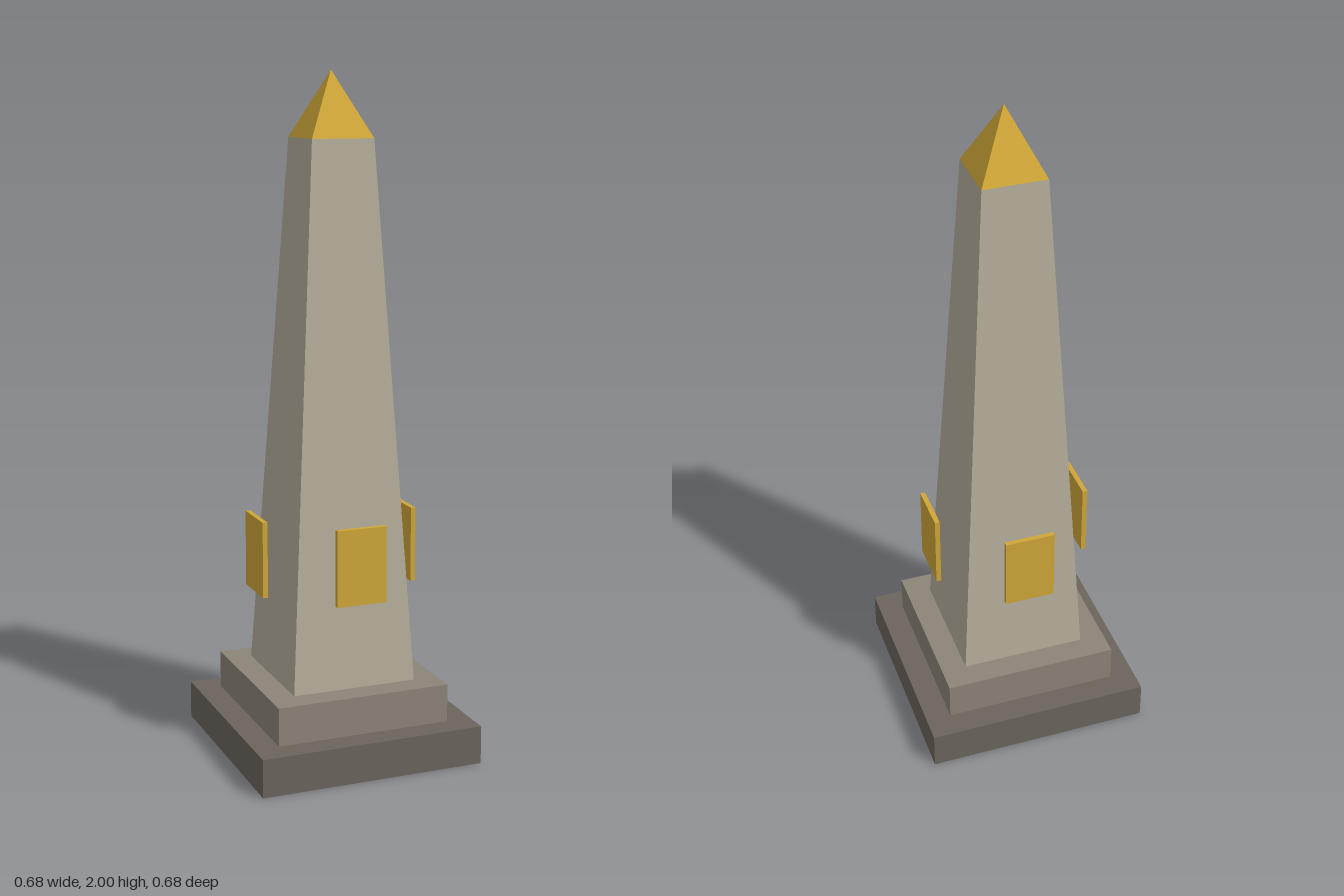
import * as THREE from 'three';

const paint = (color) => new THREE.MeshStandardMaterial({ color, flatShading: true, side: THREE.DoubleSide });

function add(parent, name, geometry, material, x, y, z) {
  const mesh = new THREE.Mesh(geometry, material);
  mesh.name = name;
  mesh.position.set(x, y, z);
  parent.add(mesh);
  return mesh;
}

// Square slab with an open underside
function openSlab(width, height) {
  const g = new THREE.BoxGeometry(width, height, width);
  const index = Array.from(g.index.array);
  index.splice(18, 6); // the bottom face
  g.setIndex(index);
  g.clearGroups();
  return g;
}

// Four-sided taper given by the half widths of its ends
function taper(topHalf, bottomHalf, height) {
  const g = new THREE.CylinderGeometry(topHalf * Math.SQRT2, bottomHalf * Math.SQRT2, height, 4, 1, true);
  return g.rotateY(Math.PI / 4);
}

export function createModel() {
  const model = new THREE.Group();
  model.name = 'obelisk';
  const darkStone = paint(0x6b645c);
  const midStone = paint(0x8c8479);
  const paleStone = paint(0xb5ad9b);
  const gold = paint(0xd0a638);

  // Stepped base
  add(model, 'plinth', openSlab(0.678, 0.114), darkStone, 0, 0.057, 0);
  add(model, 'step', openSlab(0.528, 0.114), midStone, 0, 0.171, 0);

  // Tapered shaft and pyramid cap
  add(model, 'shaft', taper(0.094, 0.189, 1.583), paleStone, 0, 1.0195, 0);
  add(model, 'cap', taper(0, 0.094, 0.189), gold, 0, 1.9055, 0);

  // One plaque standing off each side
  const plaques = new THREE.Group();
  plaques.name = 'plaques';
  model.add(plaques);
  const plate = new THREE.BoxGeometry(0.151, 0.226, 0.015);
  for (let i = 0; i < 4; i++) {
    const a = (i * Math.PI) / 2;
    const plaque = add(plaques, 'plaque', plate, gold, Math.sin(a) * 0.234, 0.609, Math.cos(a) * 0.234);
    plaque.rotation.y = a;
  }
  return model;
}
